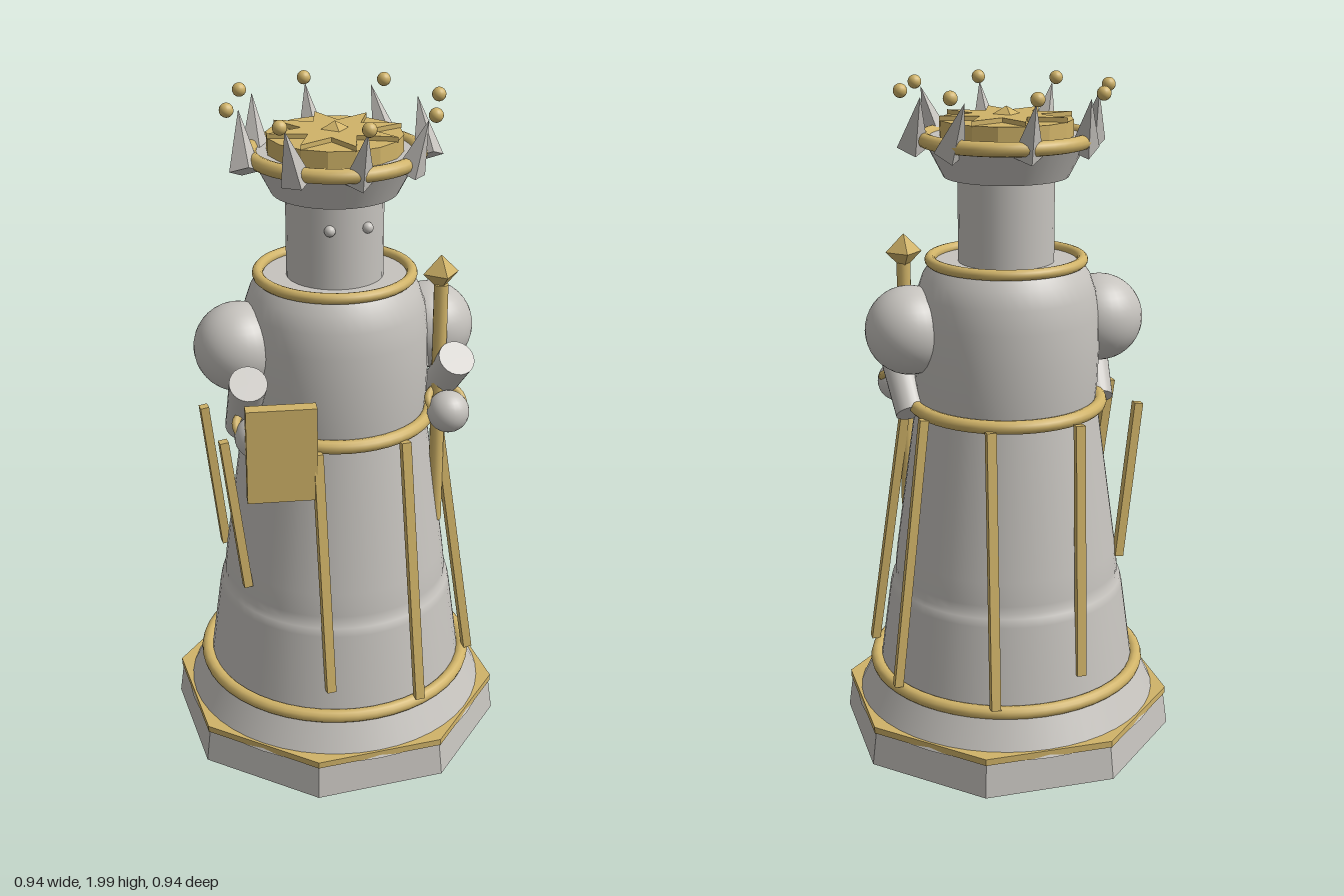
import * as THREE from 'three';

const grey = new THREE.MeshStandardMaterial({ color: 0xc6c3be });
grey.name = 'stone grey';
const gold = new THREE.MeshStandardMaterial({ color: 0xd0b368 });
gold.name = 'gold';

const V = (x, y, z) => new THREE.Vector3(x, y, z);
const UP = V(0, 1, 0);

function flat(geometry) {
  const g = geometry.index ? geometry.toNonIndexed() : geometry;
  g.computeVertexNormals();
  return g;
}

export function createModel() {
  const model = new THREE.Group();
  model.name = 'chessQueen';

  const add = (name, geometry, material, x = 0, y = 0, z = 0) => {
    const mesh = new THREE.Mesh(geometry, material);
    mesh.name = name;
    mesh.position.set(x, y, z);
    model.add(mesh);
    return mesh;
  };
  // Upright part stretched between two points
  const between = (name, make, material, a, b) => {
    const mid = a.clone().add(b).multiplyScalar(0.5);
    const mesh = add(name, make(a.distanceTo(b)), material, mid.x, mid.y, mid.z);
    mesh.quaternion.setFromUnitVectors(UP, b.clone().sub(a).normalize());
    return mesh;
  };
  const ring = (name, radius, tube, y) => {
    const g = new THREE.TorusGeometry(radius, tube, 12, 48);
    g.rotateX(Math.PI / 2);
    return add(name, g, gold, 0, y, 0);
  };
  const octagon = (name, top, bottom, height, y, material) => {
    const k = 1 / Math.cos(Math.PI / 8);
    const g = new THREE.CylinderGeometry(top * k, bottom * k, height, 8);
    g.rotateY(Math.PI / 8);
    return add(name, flat(g), material, 0, y, 0);
  };
  const lathe = (name, points) =>
    add(name, new THREE.LatheGeometry(points.map(([r, y]) => new THREE.Vector2(r, y)), 48), grey);

  // Base
  octagon('base', 0.458, 0.472, 0.11, 0.055, grey);
  octagon('baseBand', 0.464, 0.464, 0.02, 0.112, gold);
  add('baseCone', new THREE.CylinderGeometry(0.415, 0.468, 0.11, 48), grey, 0, 0.155, 0);
  ring('hemRing', 0.405, 0.02, 0.222);

  // Skirt with a shallow crease, then the bodice
  lathe('skirt', [[0.395, 0.2], [0.358, 0.47], [0.352, 0.495], [0.341, 0.505], [0.342, 0.53], [0.334, 0.6], [0.27, 1.06]]);
  ring('waistRing', 0.28, 0.02, 1.057);
  lathe('bodice', [[0.265, 1.05], [0.272, 1.12], [0.275, 1.22], [0.272, 1.32], [0.262, 1.39], [0.245, 1.44], [0.22, 1.475]]);
  add('shoulderCap', new THREE.CylinderGeometry(0.222, 0.222, 0.02, 48), grey, 0, 1.468, 0);
  ring('collarRing', 0.222, 0.016, 1.483);

  // Skirt ribs: top point, bottom point
  const ribs = [
    [[-0.137, 1.05, 0.28], [-0.125, 0.3, 0.365]],
    [[-0.137, 1.05, -0.285], [-0.125, 0.3, -0.365]],
    [[-0.372, 1.05, 0.125], [-0.315, 0.57, 0.14]],
    [[-0.372, 1.05, -0.125], [-0.315, 0.57, -0.14]],
  ];
  for (const s of [1, -1]) {
    ribs.push([[0.125, 1.05, 0.28 * s], [0.145, 0.24, 0.395 * s]]);
    ribs.push([[0.28, 1.05, 0.115 * s], [0.385, 0.24, 0.172 * s]]);
  }
  for (const [top, bottom] of ribs) {
    const side = Math.abs(top[0]) > 0.2;
    between('skirtRib', (h) => new THREE.BoxGeometry(side ? 0.026 : 0.028, h, side ? 0.028 : 0.026),
      gold, V(...bottom), V(...top));
  }

  // Arms
  for (const s of [-1, 1]) {
    add('shoulder', new THREE.SphereGeometry(0.13, 32, 20), grey, 0.29 * s, 1.288, 0.005);
    between('arm', (h) => new THREE.CylinderGeometry(0.054, 0.046, h, 24), grey,
      V(0.29 * s, 1.035, 0.002), V(0.31 * s, 1.25, 0.19));
    add('hand', new THREE.SphereGeometry(0.062, 24, 16), grey, 0.29 * s, 1.082, 0.187);
    const cuff = new THREE.TorusGeometry(0.052, 0.012, 8, 24);
    cuff.rotateX(Math.PI / 2 + 0.55);
    add('cuff', cuff, gold, 0.29 * s, 1.108, 0.165);
  }

  // Book and sceptre
  const book = add('book', new THREE.BoxGeometry(0.2, 0.285, 0.042), gold, -0.237, 1.057, 0.262);
  book.rotation.y = -0.17;
  add('sceptreRod', new THREE.CylinderGeometry(0.021, 0.021, 0.76, 12), gold, 0.277, 1.08, 0.133);
  add('sceptreHead', new THREE.OctahedronGeometry(0.054), gold, 0.277, 1.493, 0.128);

  // Head
  add('head', new THREE.CylinderGeometry(0.14, 0.14, 0.28, 32), grey, 0, 1.6, 0);
  for (const s of [-1, 1]) add('eye', new THREE.SphereGeometry(0.016, 16, 10), grey, 0.055 * s, 1.65, 0.132);

  // Crown bowl, lid and star
  add('crownBowl', new THREE.CylinderGeometry(0.24, 0.18, 0.115, 40), grey, 0, 1.782, 0);
  ring('crownRing', 0.237, 0.021, 1.833);
  add('crownLid', flat(new THREE.CylinderGeometry(0.192, 0.192, 0.05, 16)), gold, 0, 1.862, 0);
  const star = new THREE.Shape();
  for (let i = 0; i < 16; i++) {
    const r = i % 2 ? 0.095 : 0.195;
    const a = (i * Math.PI) / 8;
    star[i ? 'lineTo' : 'moveTo'](r * Math.cos(a), r * Math.sin(a));
  }
  const starGeometry = new THREE.ExtrudeGeometry(star, { depth: 0.015, bevelEnabled: false });
  starGeometry.rotateX(-Math.PI / 2);
  add('crownStar', starGeometry, gold, 0, 1.885, 0);
  add('crownStud', new THREE.OctahedronGeometry(0.062), gold, 0, 1.888, 0).scale.y = 0.55;

  // Crown spikes: base x, z and tip x, z
  const spikes = [
    [0, 0.215, 0, 0.292], [0, -0.215, 0, -0.292],
  ];
  for (const s of [-1, 1]) {
    spikes.push([0.265 * s, 0.035, 0.26 * s, -0.05]);
    spikes.push([0.195 * s, -0.115, 0.178 * s, -0.222]);
    spikes.push([0.16 * s, 0.175, 0.2 * s, 0.205]);
  }
  for (const [bx, bz, tx, tz] of spikes) {
    between('crownSpike', (h) => flat(new THREE.ConeGeometry(0.045, h, 4)), grey, V(bx, 1.81, bz), V(tx, 1.96, tz));
  }
  for (let i = 0; i < 8; i++) {
    const a = (i * Math.PI) / 4;
    add('crownPearl', new THREE.SphereGeometry(0.02, 16, 12), gold, 0.305 * Math.sin(a), 1.973, 0.305 * Math.cos(a));
  }
  return model;
}
